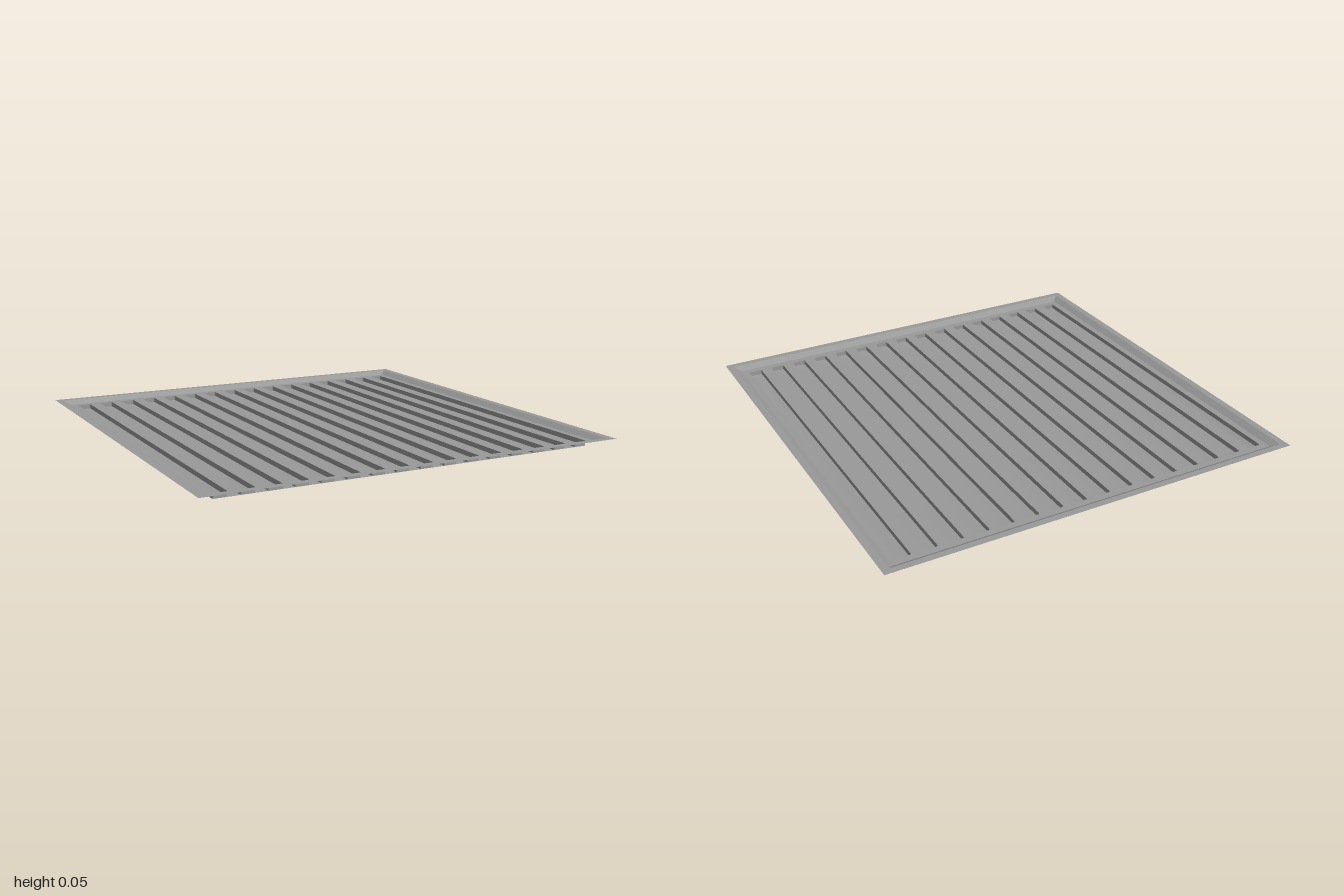
import * as THREE from 'three';

const TOP = 0.054, FLOOR = 0.035, LOWER = 0.013;
const SLOTS = 16, SLOT_X = 0.875, SLOT_HALF = 0.0315, SLOT_Z = 0.905, SLOT_R = 0.006;

const flat = new THREE.MeshStandardMaterial({
  color: 0x999999, flatShading: true, side: THREE.DoubleSide,
});
const smooth = new THREE.MeshStandardMaterial({ color: 0x999999, side: THREE.DoubleSide });

// Slot outline with slightly rounded corners, in plan
function slotOutline(i, path) {
  const cx = -SLOT_X + (2 * SLOT_X * i) / (SLOTS - 1);
  const w = SLOT_HALF - SLOT_R, d = SLOT_Z - SLOT_R, q = Math.PI / 2;
  [[w, d], [-w, d], [-w, -d], [w, -d]].forEach(([x, z], k) => {
    path.absarc(cx + x, z, SLOT_R, k * q, (k + 1) * q);
  });
  path.closePath();
  return path;
}

// Skin between stacked loops of equal point count; a four-cornered last loop can be closed
function loft(rings, closed = false) {
  const n = rings[0].points.length, pos = [], index = [];
  for (const { points, y } of rings) for (const p of points) pos.push(p.x, y, -p.y);
  for (let k = 0; k < rings.length - 1; k++) {
    for (let i = 0; i < n; i++) {
      const a = k * n + i, b = k * n + (i + 1) % n;
      index.push(a, b, a + n, b, b + n, a + n);
    }
  }
  if (closed) {
    const e = (rings.length - 1) * n;
    index.push(e, e + 1, e + 2, e, e + 2, e + 3);
  }
  const geo = new THREE.BufferGeometry();
  geo.setAttribute('position', new THREE.Float32BufferAttribute(pos, 3));
  geo.setIndex(index);
  geo.computeVertexNormals();
  return geo;
}

const corners = (half) =>
  [[-1, -1], [1, -1], [1, 1], [-1, 1]].map(([x, z]) => new THREE.Vector2(x * half, z * half));
const square = (half, y) => ({ points: corners(half), y });

// Flat square sheet pierced by the row of slots
function slottedSheet(half, y) {
  const shape = new THREE.Shape(corners(half));
  for (let i = 0; i < SLOTS; i++) shape.holes.push(slotOutline(i, new THREE.Path()));
  return new THREE.ShapeGeometry(shape, 4).rotateX(-Math.PI / 2).translate(0, y, 0);
}

export function createModel() {
  const group = new THREE.Group();
  group.name = 'slottedTray';
  const add = (name, geo, material = flat, parent = group) => {
    const mesh = new THREE.Mesh(geo, material);
    mesh.name = name;
    parent.add(mesh);
  };

  // Flat flange and sloping lip around the recessed floor
  add('rim', loft([square(1, TOP), square(0.968, TOP), square(0.938, FLOOR)]));
  add('slottedFloor', slottedSheet(0.938, FLOOR));

  // Upright walls of each slot, leading down into the pan
  const slots = new THREE.Group();
  slots.name = 'slots';
  group.add(slots);
  for (let i = 0; i < SLOTS; i++) {
    const points = slotOutline(i, new THREE.Shape()).getPoints(4);
    add('slotWall', loft([{ points, y: FLOOR }, { points, y: LOWER }]), flat, slots);
  }

  // Shallow, softly shaded pan with a slotted cover beneath the floor
  add('panCover', slottedSheet(0.907, LOWER));
  add('pan', loft([square(0.907, LOWER), square(0.83, 0)], true), smooth);
  return group;
}
